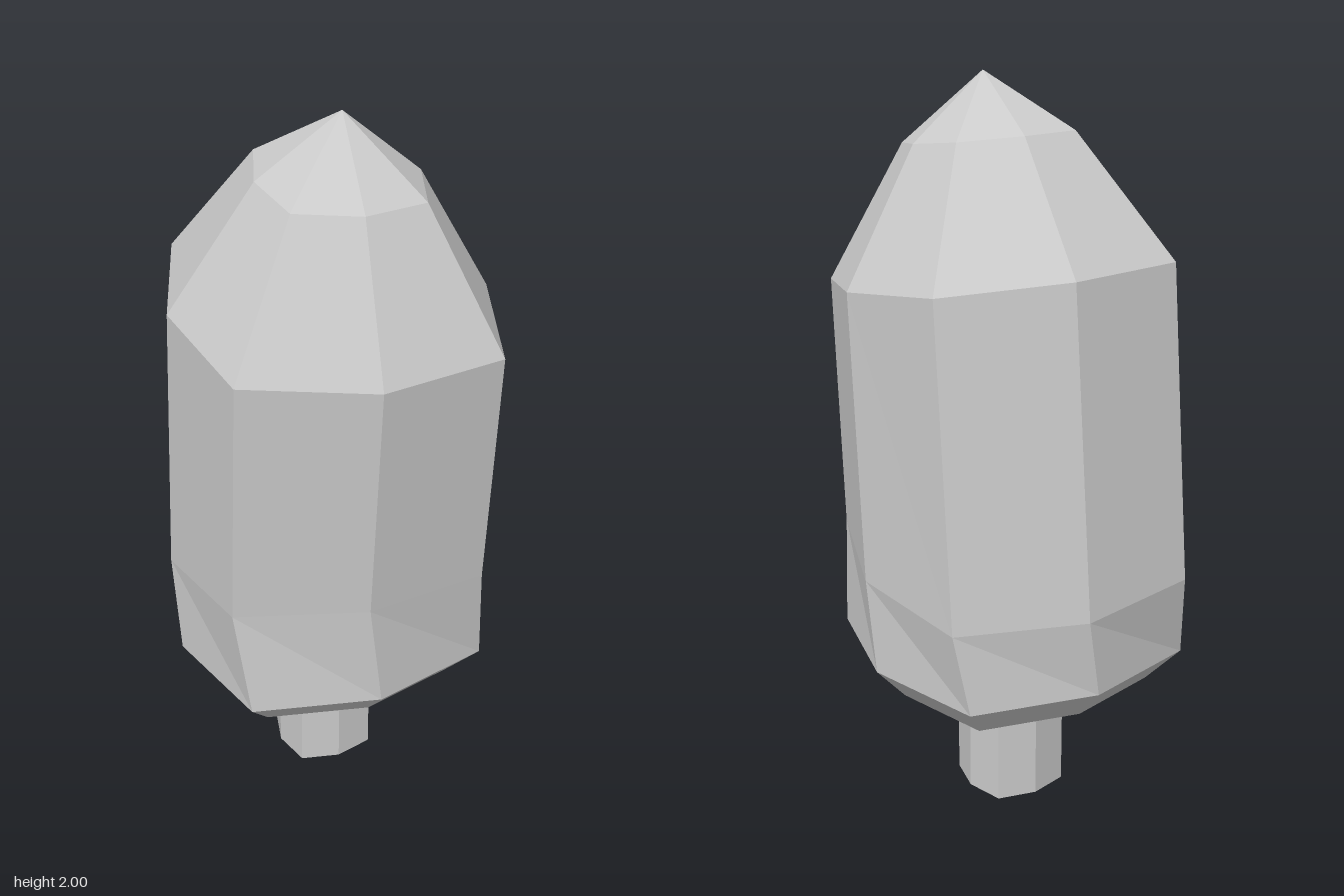
import * as THREE from 'three';

const SIDES = 8;

// Eight-sided ring: corners alternate between the axes and slightly fuller diagonals.
// slopeX / slopeZ tilt the ring, twist turns it about y.
function ring({ y, z = 0, r, twist = 0, slopeX = 0, slopeZ = 0 }) {
  const points = [];
  for (let i = 0; i < SIDES; i++) {
    const radius = r * (i % 2 ? 0.8 * Math.SQRT2 : 1);
    const a = (i / SIDES) * Math.PI * 2 + twist;
    const dx = radius * Math.cos(a);
    const dz = radius * Math.sin(a);
    points.push(new THREE.Vector3(dx, y + slopeX * dx + slopeZ * dz, z + dz));
  }
  return points;
}

// Skin a stack of rings from bottom to top, closing both ends with fans.
function loft(rings, bottom, top) {
  const pos = [];
  const tri = (...corners) => corners.forEach((p) => pos.push(p.x, p.y, p.z));
  const last = rings[rings.length - 1];
  for (let i = 0; i < SIDES; i++) {
    const j = (i + 1) % SIDES;
    tri(bottom, rings[0][i], rings[0][j]);
    for (let k = 0; k < rings.length - 1; k++) {
      const lo = rings[k], hi = rings[k + 1];
      tri(lo[i], hi[i], hi[j]);
      tri(lo[i], hi[j], lo[j]);
    }
    tri(last[i], top, last[j]);
  }
  const geometry = new THREE.BufferGeometry();
  geometry.setAttribute('position', new THREE.Float32BufferAttribute(pos, 3));
  geometry.computeVertexNormals();
  return geometry;
}

export function createModel() {
  const group = new THREE.Group();
  group.name = 'tree';
  const material = new THREE.MeshStandardMaterial({ color: 0xcccccc, flatShading: true });
  const add = (name, geometry) => {
    const mesh = new THREE.Mesh(geometry, material);
    mesh.name = name;
    group.add(mesh);
  };
  const baseZ = -0.0275;

  // Short straight trunk
  add('trunk', loft(
    [ring({ y: 0, z: baseZ, r: 0.135 }), ring({ y: 0.36, z: baseZ, r: 0.135 })],
    new THREE.Vector3(0, 0, baseZ),
    new THREE.Vector3(0, 0.36, baseZ),
  ));

  // Crown: bevelled base, tall body leaning forward, pointed tip
  add('crown', loft(
    [
      ring({ y: 0.35, z: baseZ, r: 0.343 }),
      ring({ y: 0.445, z: baseZ, r: 0.428 }),
      ring({ y: 0.71, z: -0.03, r: 0.436, twist: 0.09, slopeX: -0.03, slopeZ: 0.1 }),
      ring({ y: 1.485, z: 0.04, r: 0.426, twist: 0.1, slopeX: -0.02, slopeZ: -0.13 }),
      ring({ y: 1.832, z: 0.085, r: 0.211, twist: 0.1, slopeX: -0.02, slopeZ: -0.12 }),
    ],
    new THREE.Vector3(0, 0.35, baseZ),
    new THREE.Vector3(0, 2, 0.105),
  ));

  return group;
}
